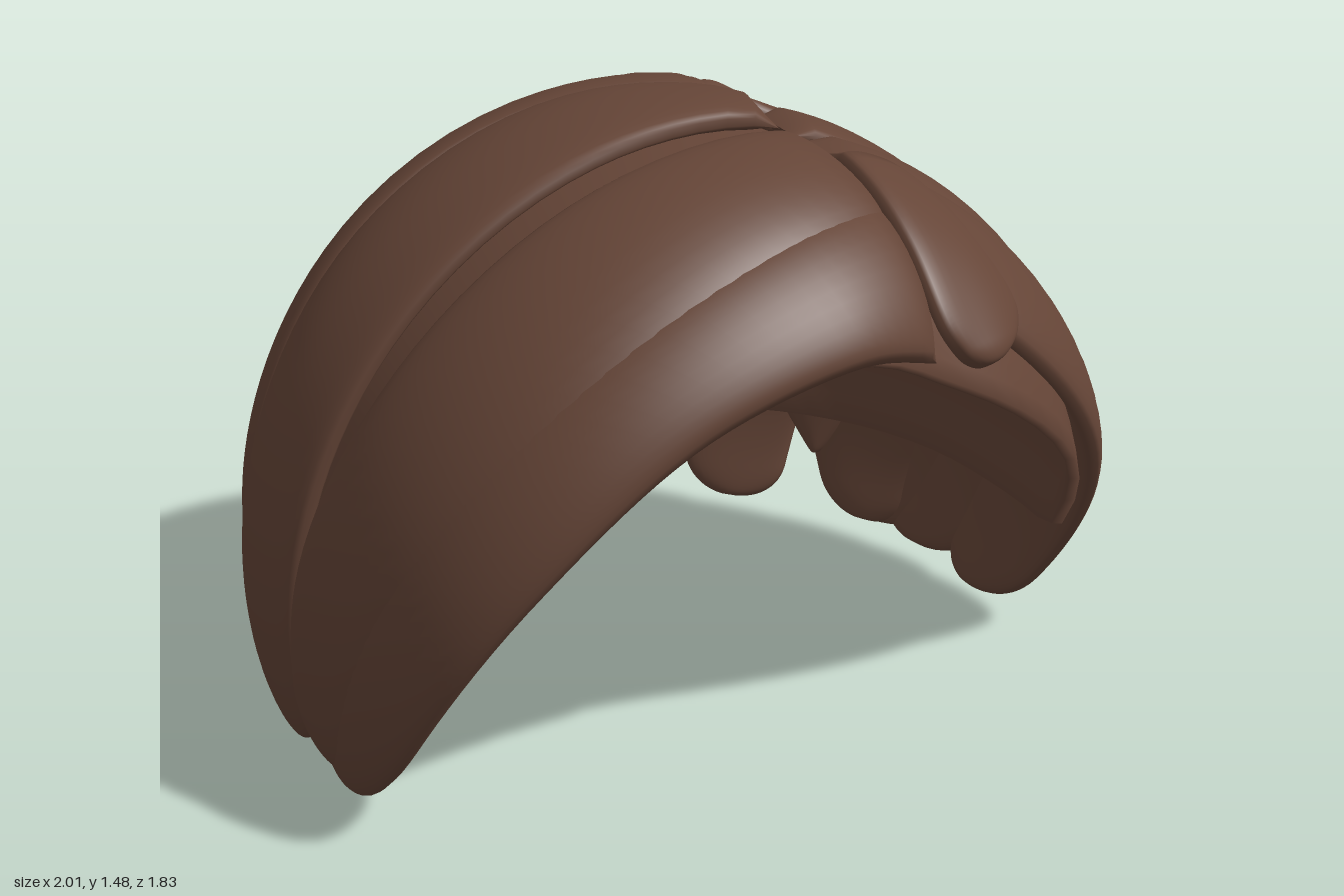
import * as THREE from 'three';

const CENTER = new THREE.Vector3(0, 0.45, 0);
const brown = new THREE.MeshStandardMaterial({ color: 0x654537 });
brown.name = 'brown hair';

// Head-shaped dome: the distance from the centre along a direction.
// The front is fuller than the round back, most of all on the fringe side.
function domeRadius(d) {
  const dy = d.y < 0 ? d.y / 1.12 : d.y / (1.04 - 0.03 * THREE.MathUtils.smoothstep(d.x, 0.1, 0.4));
  const n = d.z > 0 ? 2.9 : 2.1;
  const rz = d.z > 0 ? 1.04 - 0.1 * THREE.MathUtils.smoothstep(d.x, -0.05, 0.35) : 0.92;
  const side = Math.hypot(d.x, dy);
  return 0.95 / Math.pow(Math.pow(side, n) + Math.pow(Math.abs(d.z) / rz, n), 1 / n);
}

// Drops any point onto the dome, raised by an offset.
function onDome(p, offset) {
  const d = p.clone().sub(CENTER).normalize();
  return d.multiplyScalar(domeRadius(d) + offset).add(CENTER);
}

// Point at an azimuth (0 = front, 90 = left side) and a height.
function polar(deg, y) {
  const a = THREE.MathUtils.degToRad(deg);
  const r = Math.sqrt(1 - (y - 0.45) ** 2);
  return [r * Math.sin(a), y, r * Math.cos(a)];
}

// Skins rings of points; flips the faces if they point inwards.
function skin(rings) {
  const n = rings[0].length;
  const pts = rings.flat();
  const index = [];
  for (let i = 0; i < rings.length - 1; i++) {
    for (let j = 0; j < n; j++) {
      const a = i * n + j, b = i * n + (j + 1) % n;
      index.push(a, b, a + n, b, b + n, a + n);
    }
  }
  let volume = 0;
  const v = new THREE.Vector3();
  const local = pts.map((p) => p.clone().sub(CENTER));
  for (let i = 0; i < index.length; i += 3) {
    volume += v.crossVectors(local[index[i + 1]], local[index[i + 2]]).dot(local[index[i]]);
  }
  if (volume < 0) index.reverse();
  const g = new THREE.BufferGeometry().setFromPoints(pts);
  g.setIndex(index);
  g.computeVertexNormals();
  return g;
}

// A lock of hair between two edge curves, with a rounded tip.
function lock(name, edgeA, edgeB, { lift = 0, thick = 0.05, tip = 0.1 } = {}) {
  const curve = (e) => new THREE.CatmullRomCurve3(e.map((p) => new THREE.Vector3(...p)));
  const A = curve(edgeA), B = curve(edgeB);
  const rings = [], STEPS = 44, SIDES = 32;
  for (let i = 0; i <= STEPS; i++) {
    const k = i / STEPS;
    const t = 1 - (1 - k) ** 1.6; // finer rings toward the tip
    const s = Math.max(0, (t - 1 + tip) / tip);
    const round = Math.pow(Math.max(0, 1 - s ** 2.4), 1 / 2.4);
    const body = Math.min(1, Math.sqrt(t / 0.04)) * Math.sqrt(round);
    const a = A.getPoint(t), b = B.getPoint(t);
    const ring = [];
    for (let j = 0; j < SIDES; j++) {
      const th = (j / SIDES) * Math.PI * 2;
      const u = 0.5 - 0.5 * Math.cos(th) * round;
      const sn = Math.sin(th);
      const h = sn > 0 ? thick * Math.pow(sn, 0.55) : 0.03 * sn;
      ring.push(onDome(a.clone().lerp(b, u), lift + h * body));
    }
    rings.push(ring);
  }
  const mesh = new THREE.Mesh(skin(rings), brown);
  mesh.name = name;
  return mesh;
}

// Hollow cap under the locks, cut high above the face.
function makeCap() {
  const rings = [], AZ = 72, ROWS = 20;
  for (let i = 0; i <= AZ; i++) {
    const deg = (i / AZ) * 360 - 180;
    const a = THREE.MathUtils.degToRad(deg);
    const low = 0.36 + 0.67 * Math.max(0, 1 - (deg / 66) ** 2);
    const start = Math.asin((low - 0.45) / 0.95);
    const at = (k, offset) => {
      const e = THREE.MathUtils.lerp(start, Math.PI / 2, k / ROWS);
      const d = new THREE.Vector3(Math.cos(e) * Math.sin(a), Math.sin(e), Math.cos(e) * Math.cos(a));
      return onDome(d.add(CENTER), offset);
    };
    const ring = [];
    for (let k = 0; k <= ROWS; k++) ring.push(at(k, -0.025));
    for (let k = ROWS; k >= 0; k--) ring.push(at(k, -0.05));
    rings.push(ring);
  }
  const mesh = new THREE.Mesh(skin(rings), brown);
  mesh.name = 'innerCap';
  return mesh;
}

export function createModel() {
  const hair = new THREE.Group();
  hair.name = 'hair';
  hair.add(makeCap());

  // Fringe swept across the forehead to the right side
  hair.add(lock('upperFringe',
    [[0.2, 1.42, 0.28], [-0.35, 1.38, 0.32], [-0.8, 1.0, 0.25], [-0.99, 0.5, 0.1], [-0.96, 0.08, 0]],
    [[0.26, 1.3, 0.62], [-0.1, 1.3, 0.74], [-0.55, 1.05, 0.74], [-0.87, 0.55, 0.5], [-0.92, 0.04, 0.26]],
    { lift: 0.01, thick: 0.055 }));
  hair.add(lock('lowerFringe',
    [[0.24, 1.32, 0.52], [-0.1, 1.33, 0.66], [-0.6, 1.05, 0.62], [-0.9, 0.55, 0.36], [-0.94, 0, 0.06]],
    [[0.24, 1.07, 0.84], [0, 1.15, 0.94], [-0.4, 1.04, 0.94], [-0.72, 0.68, 0.78], [-0.89, 0.01, 0.31]],
    { lift: 0.006, thick: 0.055 }));

  // Raised band over the crown, falling on the right side
  hair.add(lock('crownBand',
    [[0.25, 1.42, 0.02], [-0.1, 1.45, -0.16], [-0.6, 1.2, -0.25], [-0.95, 0.7, -0.27], [-0.96, 0, -0.37]],
    [[0.2, 1.42, 0.2], [-0.3, 1.42, 0.22], [-0.8, 1.05, 0.18], [-0.99, 0.5, 0.1], [-0.96, -0.03, 0.02]],
    { lift: 0.014, thick: 0.046 }));
  hair.add(lock('rightBackLock',
    [[0.2, 1.4, -0.2], [-0.05, 1.3, -0.46], [-0.5, 1.0, -0.7], [-0.78, 0.6, -0.62], [-0.82, 0.18, -0.52]],
    [[0.22, 1.42, -0.02], [-0.2, 1.42, -0.24], [-0.75, 1.05, -0.31], [-0.95, 0.6, -0.35], [-0.88, 0.2, -0.4]],
    { lift: 0.005, thick: 0.045 }));

  // Left side: short tuft at the parting and wide swept locks
  hair.add(lock('partingTuft',
    [[0.27, 1.38, 0.3], [0.26, 1.28, 0.64], [0.27, 1.12, 0.78], [0.35, 1.0, 0.8]],
    [[0.46, 1.35, 0.32], [0.56, 1.25, 0.56], [0.58, 1.12, 0.68], [0.48, 1.02, 0.76]],
    { lift: 0.01, thick: 0.045, tip: 0.15 }));
  hair.add(lock('leftFrontLock',
    [[0.28, 1.4, 0.3], [0.65, 1.2, 0.34], [0.92, 0.75, 0.24], [0.98, 0.4, 0], [0.94, 0.05, -0.12]],
    [[0.3, 1.2, 0.72], [0.5, 1.1, 0.78], [0.73, 0.78, 0.66], [0.9, 0.38, 0.42], [0.93, 0.03, 0.17]],
    { lift: 0.002, thick: 0.048 }));
  hair.add(lock('leftMiddleLock',
    [[0.27, 1.42, 0.22], [0.62, 1.28, 0.16], [0.93, 0.8, 0.02], [0.98, 0.4, -0.26], [0.93, 0.06, -0.38]],
    [[0.28, 1.38, 0.42], [0.66, 1.2, 0.45], [0.92, 0.75, 0.38], [0.99, 0.4, 0.12], [0.94, 0.06, -0.06]],
    { lift: 0.007, thick: 0.042 }));
  hair.add(lock('leftCrownLock',
    [[0.27, 1.42, 0], [0.6, 1.28, -0.18], [0.9, 0.9, -0.24], [0.95, 0.55, -0.42], [0.84, 0.09, -0.58]],
    [[0.25, 1.42, 0.2], [0.6, 1.3, 0.24], [0.92, 0.85, 0.2], [0.99, 0.45, -0.02], [0.93, 0.07, -0.22]],
    { lift: 0.004, thick: 0.044 }));

  // Back locks fanning from the crown: edge azimuths at four heights
  const back = [
    ['backLock1', [-166, -126], [-157, -121], [-153, -126], [-145, -131], 0.06, 0],
    ['backLock2', [-194, -152], [-184, -148], [-179, -155], [-175, -157], 0.1, 0.01],
    ['backLock3', [-220, -182], [-213, -177], [-209, -184], [-206, -187], 0.13, 0],
    ['backLock4', [-242, -210], [-239, -207], [-232, -211], [-229, -215], 0.09, 0.01],
    ['backLock5', [-270, -234], [-264, -232], [-257, -234], [-253, -239], 0.09, -0.008],
  ];
  for (const [name, top, mid, low, end, y, lift] of back) {
    const edge = (i) => [
      [i ? 0.17 : 0.23, 1.4, -0.14],
      polar(top[i], 1.2), polar(mid[i], 0.68), polar(low[i], 0.34), polar(end[i], y),
    ];
    hair.add(lock(name, edge(0), edge(1), { lift, thick: 0.045 }));
  }

  // Small underlayer points showing between the back locks
  for (const az of [-120, -148, -165, 180, 166, 150, 124]) {
    hair.add(lock('underLock',
      [polar(az - 7, 0.55), polar(az - 7, 0.42), polar(az - 2, 0.24)],
      [polar(az + 7, 0.55), polar(az + 7, 0.42), polar(az + 2, 0.24)],
      { lift: -0.02, thick: 0.025, tip: 0.4 }));
  }
  return hair;
}
